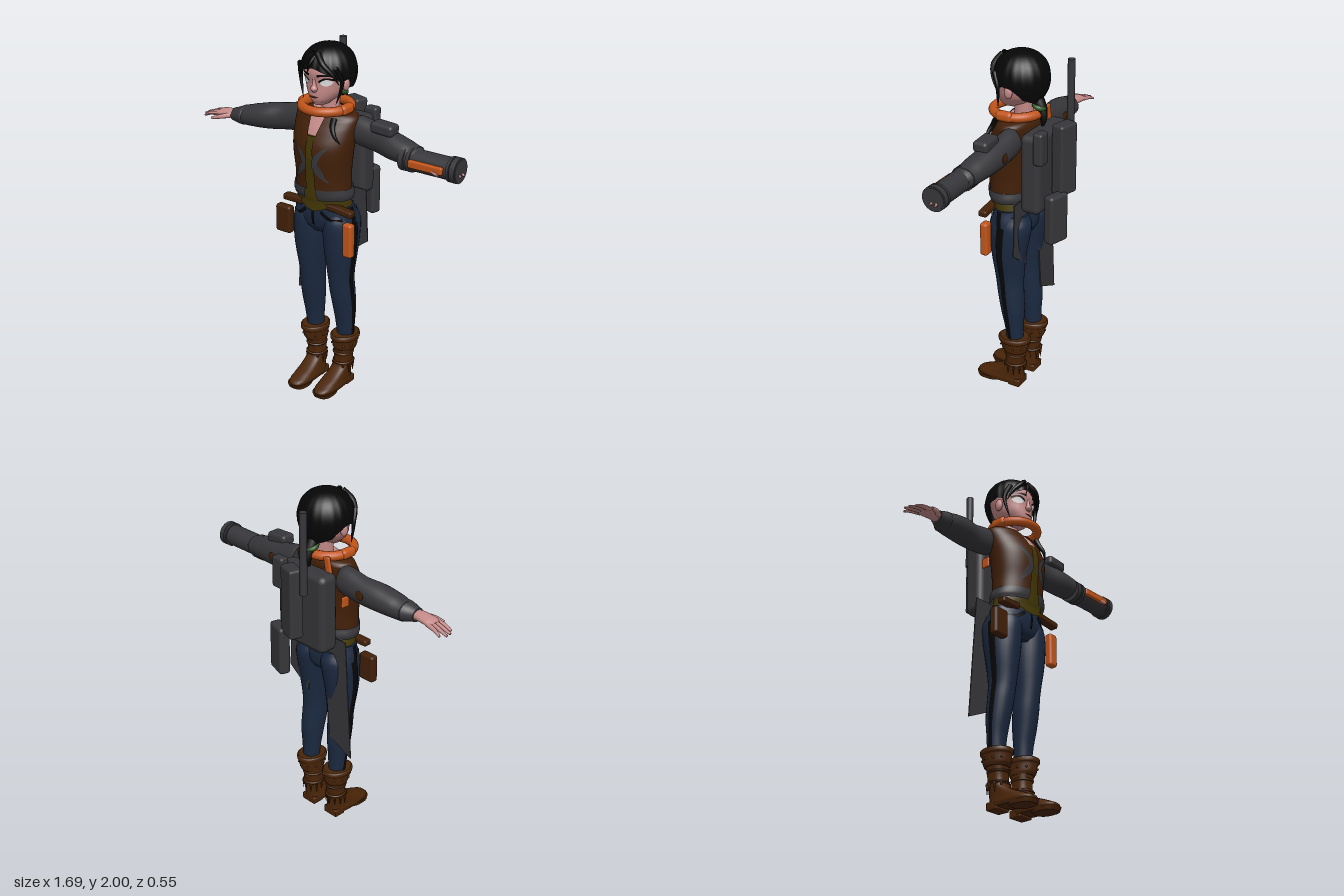
import * as THREE from 'three';
import { RoundedBoxGeometry } from 'three/addons/geometries/RoundedBoxGeometry.js';

const V = (x, y, z) => new THREE.Vector3(x, y, z);
const mat = (name, color) => {
  const m = new THREE.MeshStandardMaterial({ color, side: THREE.DoubleSide });
  m.name = name;
  return m;
};

// Cross-sections are [height, centreX, halfWidth, frontZ, backZ]; smooth in between.
function at(secs, y) {
  let i = 0;
  while (i < secs.length - 2 && y > secs[i + 1][0]) i++;
  const p1 = secs[i], p2 = secs[i + 1], p0 = secs[i - 1] || p1, p3 = secs[i + 2] || p2;
  const t = THREE.MathUtils.clamp((y - p1[0]) / (p2[0] - p1[0]), 0, 1);
  return p1.map((b, k) => {
    const a = p0[k], c = p2[k], d = p3[k];
    return k === 0 ? y : b + 0.5 * t * (c - a + t * (2 * a - 5 * b + 4 * c - d + t * (3 * (b - c) + d - a)));
  });
}

function build(pos, idx) {
  const g = new THREE.BufferGeometry();
  g.setAttribute('position', new THREE.Float32BufferAttribute(pos, 3));
  g.setIndex(idx);
  g.computeVertexNormals();
  return g;
}

// Skin over the cross-sections; gap(y) leaves a front opening of that half width,
// arc limits the angle and a power below 1 makes the outline squarer.
function loft(secs, { gap, arc, grow = 0, steps = 4, n = 28, power = 1 } = {}) {
  const pos = [], idx = [], ys = [];
  const closed = !gap && !arc, cols = closed ? n : n + 1;
  const sq = v => Math.sign(v) * Math.abs(v) ** power;
  secs.forEach((s, i) => {
    if (i) for (let k = 1; k <= steps; k++) ys.push(THREE.MathUtils.lerp(secs[i - 1][0], s[0], k / steps));
    else ys.push(s[0]);
  });
  const ring = y => {
    const [, cx, rx, zf, zb] = at(secs, y);
    const g = gap ? Math.asin(Math.min(1, gap(y) / rx)) : 0;
    const [a0, a1] = arc || [g, 2 * Math.PI - g];
    for (let j = 0; j < cols; j++) {
      const a = a0 + (a1 - a0) * j / n;
      pos.push(cx + (rx + grow) * sq(Math.sin(a)), y, (zf + zb) / 2 + ((zf - zb) / 2 + grow) * sq(Math.cos(a)));
    }
  };
  ys.forEach(ring);
  for (let i = 0; i < ys.length - 1; i++) for (let j = 0; j < n; j++) {
    const a = i * cols + j, b = i * cols + (j + 1) % cols;
    idx.push(a, b, b + cols, a, b + cols, a + cols);
  }
  if (closed) [ys[0], ys[ys.length - 1]].forEach((y, top) => {
    const s = pos.length / 3, c = at(secs, y);
    ring(y);
    pos.push(c[1], y, (c[3] + c[4]) / 2);
    for (let j = 0; j < n; j++) {
      const k = s + (j + 1) % n;
      top ? idx.push(s + j, k, s + n) : idx.push(k, s + j, s + n);
    }
  });
  return build(pos, idx);
}

// Thin painted strip laid on the front of a lofted body.
function decal(secs, path, width, lift = 0.005, n = 12) {
  const pos = [], idx = [];
  for (let i = 0; i <= n; i++) {
    const t = i / n, [x, y] = path(t), [x0, y0] = path(t - 0.01), [x1, y1] = path(t + 0.01);
    const l = Math.hypot(x1 - x0, y1 - y0) || 1;
    for (let k = -1; k <= 1; k++) {
      const px = x - (y1 - y0) / l * width(t) * k, py = y + (x1 - x0) / l * width(t) * k;
      const [, cx, rx, zf, zb] = at(secs, py);
      const q = Math.sqrt(Math.max(0.02, 1 - ((px - cx) / rx) ** 2));
      pos.push(px, py, (zf + zb) / 2 + (zf - zb) / 2 * q + lift);
      if (i < n && k < 1) { const a = i * 3 + k + 1; idx.push(a, a + 3, a + 4, a, a + 4, a + 1); }
    }
  }
  return build(pos, idx);
}
const arch = t => Math.sin(Math.PI * THREE.MathUtils.clamp(t, 0, 1));

// Tapered lock of hair
function lock(points, r, tip = 0.1) {
  const curve = new THREE.CatmullRomCurve3(points.map(p => V(...p)));
  const g = new THREE.TubeGeometry(curve, 12, r, 8), p = g.attributes.position, v = V();
  for (let i = 0; i < p.count; i++) {
    const t = Math.floor(i / 9) / 12;
    v.fromBufferAttribute(p, i).lerp(curve.getPointAt(t), (1 - tip) * t * t);
    p.setXYZ(i, v.x, v.y, v.z);
  }
  return g;
}

function mirror(geo) {
  const g = geo.clone().scale(-1, 1, 1), ix = g.index;
  if (ix) for (let i = 0; i < ix.count; i += 3) { const a = ix.getX(i); ix.setX(i, ix.getX(i + 1)); ix.setX(i + 1, a); }
  g.computeVertexNormals();
  return g;
}
const box = (w, h, d, x, y, z, r = 0.012, ry = 0, rz = 0) =>
  new RoundedBoxGeometry(w, h, d, 2, r).rotateZ(rz).rotateY(ry).translate(x, y, z);
// Limb along +x from [distance, centreY, halfHeight, frontZ, backZ]
const limb = secs => loft(secs.map(([d, y, ...r]) => [d, -y, ...r])).rotateZ(-Math.PI / 2);

export function createModel() {
  const M = {
    grey: mat('grey cloth', 0x37373b), brown: mat('brown leather', 0x422008), boot: mat('boot leather', 0x4a2508),
    navy: mat('navy denim', 0x1b2940), orange: mat('orange', 0xc2551a), black: mat('black', 0x060606),
    skin: mat('skin', 0xc48a88), olive: mat('olive shirt', 0x443805), green: mat('green tie', 0x28581e), white: mat('eye white', 0xffffff),
  };
  const model = new THREE.Group();
  const add = (name, geo, m) => {
    const mesh = new THREE.Mesh(geo, M[m]);
    mesh.name = name;
    model.add(mesh);
  };
  const pair = (name, geo, m) => { add(name + 'Left', geo, m); add(name + 'Right', mirror(geo), m); };

  // Head and face
  const head = [[1.69, 0, 0.035, 0.145, 0.03], [1.72, 0, 0.07, 0.16, -0.02], [1.76, 0, 0.1, 0.162, -0.06], [1.81, 0, 0.116, 0.16, -0.08],
    [1.87, 0, 0.124, 0.168, -0.09], [1.93, 0, 0.1, 0.14, -0.07], [1.97, 0, 0.05, 0.08, -0.02]];
  add('head', loft(head), 'skin');
  add('neck', loft([[1.58, 0, 0.065, 0.08, -0.04], [1.64, 0, 0.05, 0.07, -0.035], [1.74, 0, 0.05, 0.07, -0.04]]), 'skin');
  add('nose', loft([[1.765, 0, 0.012, 0.172, 0.14], [1.782, 0, 0.02, 0.184, 0.14], [1.8, 0, 0.012, 0.176, 0.14], [1.84, 0, 0.008, 0.168, 0.14]]), 'skin');
  add('mouth', decal(head, t => [-0.028 + 0.056 * t, 1.738], t => 0.005 * arch(t) + 0.001), 'brown');
  pair('eye', decal(head, t => [0.034 + 0.06 * t, 1.816 + 0.006 * t], t => 0.018 * arch(t) ** 0.7, 0.004), 'white');
  pair('lash', decal(head, t => [0.03 + 0.07 * t, 1.821 + 0.012 * t + 0.015 * arch(t)], () => 0.005, 0.006), 'black');
  pair('brow', decal(head, t => [0.024 + 0.077 * t, 1.856 + 0.004 * arch(t)], t => 0.007 * (1 - 0.5 * t), 0.006), 'black');
  pair('ear', new THREE.SphereGeometry(1, 12, 8).scale(0.018, 0.036, 0.024).translate(0.12, 1.8, 0.045), 'skin');

  // Hair shell whose hem is high over the face and low at the nape
  const hem = [[0, 1.895], [0.4, 1.878], [0.8, 1.85], [1.1, 1.82], [1.35, 1.835], [1.7, 1.825], [2.1, 1.765], [3.15, 1.71]];
  const hemY = a => {
    const i = hem.findIndex((h, k) => k && a <= h[0]);
    return THREE.MathUtils.mapLinear(a, hem[i - 1][0], hem[i][0], hem[i - 1][1], hem[i][1]);
  };
  const hp = [], hi = [], N = 72, R = 14;
  for (let i = 0; i <= R; i++) for (let j = 0; j < N; j++) {
    const a = j / N * 2 * Math.PI, b = hemY(Math.min(a, 2 * Math.PI - a));
    const end = b > 1.86 ? Math.acos((b - 1.86) / 0.14) : Math.PI / 2 + Math.asin((1.86 - b) / 0.175);
    const th = end * i / R, c = Math.cos(th), r = Math.sin(th) ** (c > 0 ? 0.82 : 1) * (1 + 0.02 * Math.cos(18 * a) * i / R);
    hp.push(0.148 * r * Math.sin(a), 1.86 + c * (c > 0 ? 0.14 : 0.175), 0.03 + 0.152 * r * Math.cos(a));
    if (i < R) { const q = i * N + j, s = i * N + (j + 1) % N; hi.push(q, q + N, s + N, q, s + N, s); }
  }
  add('hair', build(hp, hi), 'black');
  pair('sideLock', lock([[0.115, 1.9, 0.13], [0.134, 1.83, 0.1], [0.122, 1.76, 0.105], [0.105, 1.705, 0.115]], 0.013), 'black');
  pair('fringe', lock([[0.01, 1.965, 0.14], [0.06, 1.92, 0.165], [0.105, 1.87, 0.145], [0.126, 1.81, 0.115]], 0.016), 'black');
  add('strayLock', lock([[0, 1.965, 0.13], [-0.015, 1.92, 0.175], [-0.035, 1.86, 0.178]], 0.01), 'black');
  add('hairTie', new THREE.TorusGeometry(0.028, 0.015, 8, 18).rotateX(1.2).translate(0, 1.71, -0.075), 'green');
  add('ponytail', lock([[0, 1.75, -0.06], [0, 1.7, -0.085], [0, 1.64, -0.1], [0, 1.59, -0.09]], 0.035), 'black');
  add('braid', lock([[0.105, 1.63, 0.13], [0.108, 1.59, 0.15], [0.13, 1.55, 0.165], [0.155, 1.505, 0.15]], 0.016), 'black');

  // Collar ring
  add('collar', new THREE.TorusGeometry(0.13, 0.026, 12, 40).rotateX(Math.PI / 2).translate(0, 1.668, 0.055), 'orange');
  pair('collarPad', box(0.05, 0.056, 0.1, 0.132, 1.67, 0.06, 0.022), 'orange');

  // Torso: chest, shirt, open vest and hem
  const torso = [[1.23, 0, 0.165, 0.2, -0.04], [1.31, 0, 0.163, 0.205, -0.045], [1.4, 0, 0.172, 0.214, -0.05], [1.48, 0, 0.18, 0.21, -0.06],
    [1.56, 0, 0.188, 0.175, -0.07], [1.615, 0, 0.19, 0.14, -0.068], [1.638, 0, 0.165, 0.12, -0.06], [1.655, 0, 0.09, 0.1, -0.045]];
  const inner = torso.map(([y, c, r, f, b]) => [y, c, r - 0.014, f - 0.012, b + 0.012]);
  add('chest', loft(inner.slice(3)), 'skin');
  add('shirt', loft([[1.1, 0, 0.165, 0.17, -0.05], [1.17, 0, 0.16, 0.185, -0.035], ...inner.slice(0, 4), [1.53, 0, 0.168, 0.19, -0.05]]), 'olive');
  const open = y => y > 1.5 ? 0.018 + (y - 1.5) * 0.2 : 0.018 + (1.5 - y) * 0.04;
  add('vest', loft(torso, { gap: open, n: 48 }), 'brown');
  add('vestHem', loft([[1.175, 0, 0.174, 0.196, -0.05], [1.2, 0, 0.18, 0.203, -0.055], [1.238, 0, 0.172, 0.206, -0.05]], { gap: y => 0.03 + (1.238 - y) * 0.2, n: 48 }), 'grey');
  pair('vestCurve', decal(torso, t => [0.105 - 0.07 * Math.sin(Math.PI * t), 1.285 + 0.2 * t], t => 0.004 + 0.014 * arch(t)), 'grey');
  pair('vestBranch', decal(torso, t => [0.05 + 0.035 * t, 1.37 - 0.05 * t], t => 0.014 * (1 - t) + 0.002), 'grey');
  add('sideStrap', box(0.015, 0.06, 0.05, -0.176, 1.42, 0.0, 0.006), 'orange');
  add('backStrap', box(0.04, 0.16, 0.02, -0.12, 1.6, -0.066, 0.008, 0, -0.2), 'orange');

  // Sleeves, cuffs and hands
  pair('sleeve', limb([[0.165, 1.55, 0.076, 0.065, -0.058], [0.2, 1.547, 0.081, 0.065, -0.06], [0.3, 1.53, 0.076, 0.07, -0.058],
    [0.4, 1.518, 0.074, 0.1, -0.05], [0.5, 1.505, 0.064, 0.11, -0.035], [0.57, 1.495, 0.055, 0.105, -0.02]]), 'grey');
  pair('cuff', limb([[0.545, 1.497, 0.05, 0.1, -0.01], [0.56, 1.495, 0.056, 0.112, -0.02], [0.63, 1.49, 0.037, 0.1, 0.02]]), 'grey');
  pair('elbowPatch', new THREE.SphereGeometry(1, 14, 8).scale(0.028, 0.026, 0.005).translate(0.33, 1.53, -0.056), 'brown');
  pair('palm', limb([[0.6, 1.49, 0.028, 0.088, 0.028], [0.66, 1.492, 0.025, 0.1, 0.022], [0.72, 1.488, 0.02, 0.105, 0.015], [0.75, 1.483, 0.01, 0.1, 0.02]]), 'skin');
  [[0.82, 0.01], [0.843, 0.04], [0.84, 0.07], [0.82, 0.098]].forEach(([x, z], i) =>
    pair('finger' + i, lock([[0.72, 1.486, 0.026 + i * 0.023], [0.78, 1.475, (z + 0.026 + i * 0.023) / 2], [x, 1.458, z]], 0.0125, 0.5), 'skin'));
  pair('thumb', lock([[0.64, 1.487, 0.085], [0.69, 1.478, 0.118], [0.74, 1.465, 0.137]], 0.015, 0.5), 'skin');

  // Gauntlet and shoulder pad on the left arm
  const tube = (r, w, x) => new THREE.CylinderGeometry(r, r, w, 28).rotateZ(Math.PI / 2).translate(x, 1.484, 0.058);
  add('gauntlet', tube(0.059, 0.33, 0.665), 'grey');
  [[0.51, 0.03], [0.55, 0.02], [0.785, 0.015], [0.812, 0.03]].forEach(([x, w], i) => add('gauntletRing' + i, tube(0.067, w, x), 'grey'));
  add('gauntletPanel', box(0.2, 0.04, 0.03, 0.66, 1.484, 0.12, 0.008), 'orange');
  add('armPad', box(0.135, 0.06, 0.085, 0.36, 1.607, 0.04, 0.018, 0, -0.06), 'grey');

  // Trousers with side stripe, pockets and fly
  const leg = [[0.28, 0.105, 0.046, 0.065, -0.03], [0.4, 0.106, 0.056, 0.077, -0.03], [0.5, 0.106, 0.065, 0.1, -0.036], [0.6, 0.102, 0.07, 0.12, -0.03],
    [0.7, 0.098, 0.071, 0.136, -0.028], [0.85, 0.1, 0.09, 0.157, -0.042], [0.97, 0.098, 0.098, 0.168, -0.064], [1.04, 0.095, 0.095, 0.168, -0.072], [1.1, 0.09, 0.08, 0.15, -0.05]];
  const hips = [[0.965, 0, 0.14, 0.13, -0.03], [1.0, 0, 0.185, 0.16, -0.05], [1.06, 0, 0.19, 0.174, -0.055], [1.13, 0, 0.175, 0.172, -0.045]];
  pair('leg', loft(leg), 'navy');
  add('hips', loft(hips), 'navy');
  pair('sideStripe', loft(leg.slice(0, -1), { arc: [1.28, 1.66], grow: 0.004, n: 4 }), 'black');
  pair('hipStripe', loft(hips.slice(1), { arc: [1.36, 1.6], grow: 0.004, n: 4 }), 'black');
  pair('pocketTrim', decal(hips, t => [0.05 + 0.11 * t, 1.105 - 0.045 * Math.sin(Math.PI * t * 0.7)], () => 0.009, 0.008), 'black');
  add('fly', decal(hips, t => [0, 1.02 + 0.085 * t], () => 0.008, 0.007), 'black');
  add('shirtTail', decal(hips, t => [-0.1 + 0.2 * t, 1.14], t => 0.035 * arch(t), 0.01), 'olive');

  // Belt, pouch and holster
  add('beltRight', box(0.13, 0.036, 0.05, -0.148, 1.13, 0.145, 0.01), 'brown');
  add('beltLeft', box(0.17, 0.036, 0.05, 0.155, 1.132, 0.145, 0.01, 0, -0.1), 'brown');
  add('pouch', box(0.1, 0.16, 0.05, -0.222, 0.99, 0.14, 0.015), 'brown');
  add('holster', box(0.06, 0.195, 0.046, 0.208, 0.968, 0.142, 0.015), 'orange');

  // Flat coat tails hanging from the waist
  const tail = (name, inTop, outTop, outLow, inLow) => {
    const s = new THREE.Shape([inTop, outTop, outLow, inLow].map(p => new THREE.Vector2(...p)));
    add(name, new THREE.ExtrudeGeometry(s, { depth: 0.006, bevelEnabled: false }).translate(0, 0, -0.036), 'grey');
  };
  tail('coatTailRight', [-0.04, 1.2], [-0.215, 1.2], [-0.265, 0.485], [-0.1, 0.56]);
  tail('coatTailLeft', [0.04, 1.2], [0.2, 1.2], [0.215, 0.9], [0.07, 0.79]);

  // Boots: foot, sole, heel, cuff, straps and fringe
  pair('bootFoot', loft([[0.014, 0.088, 0.056, 0.262, -0.02], [0.035, 0.088, 0.06, 0.266, -0.025], [0.055, 0.088, 0.056, 0.228, -0.025], [0.09, 0.09, 0.051, 0.142, -0.025],
    [0.125, 0.092, 0.05, 0.084, -0.025], [0.18, 0.094, 0.05, 0.074, -0.03], [0.25, 0.098, 0.056, 0.08, -0.035]], { power: 0.75 }), 'boot');
  pair('bootSole', loft([[0, 0.088, 0.056, 0.262, 0.12], [0.022, 0.088, 0.06, 0.272, 0.1]], { power: 0.75 }), 'boot');
  pair('bootHeel', box(0.1, 0.045, 0.075, 0.09, 0.0225, 0.015, 0.008), 'boot');
  pair('bootCuff', loft([[0.232, 0.1, 0.062, 0.088, -0.05], [0.25, 0.102, 0.066, 0.1, -0.058], [0.295, 0.104, 0.07, 0.108, -0.064],
    [0.302, 0.105, 0.077, 0.118, -0.072], [0.322, 0.105, 0.077, 0.118, -0.072], [0.328, 0.105, 0.07, 0.11, -0.064]]), 'boot');
  const ringAt = (y, rx, rz) => new THREE.TorusGeometry(1, 0.12, 8, 28).rotateX(Math.PI / 2).scale(rx, 0.06, rz).translate(0.094, y, 0.024);
  [0.145, 0.205].forEach((y, i) => pair('bootStrap' + i, ringAt(y, 0.053, 0.058), 'boot'));
  for (let i = 0; i < 9; i++) {
    const a = 0.6 + i * 0.62;
    pair('bootFringe' + i, new THREE.ConeGeometry(0.009, 0.065, 6).rotateX(Math.PI).translate(0.094 + 0.056 * Math.sin(a), 0.112, 0.024 + 0.06 * Math.cos(a)), 'boot');
    pair('cuffStud' + i, new THREE.SphereGeometry(0.007, 8, 6).translate(0.103 + 0.068 * Math.sin(a), 0.27, 0.022 + 0.083 * Math.cos(a)), 'boot');
  }

  // Backpack cluster and antenna
  add('backpack', box(0.345, 0.45, 0.12, 0, 1.375, -0.105, 0.035), 'grey');
  add('packTallBox', box(0.12, 0.4, 0.08, -0.005, 1.44, -0.222, 0.015, -0.3), 'grey');
  add('packLowBox', box(0.13, 0.28, 0.065, 0.09, 1.13, -0.225, 0.018, -0.3), 'grey');
  add('packSideBox', box(0.08, 0.18, 0.055, 0.148, 1.54, -0.162, 0.014), 'grey');
  add('packLink', box(0.06, 0.06, 0.03, -0.015, 1.58, -0.172, 0.008), 'orange');
  add('antenna', new THREE.CylinderGeometry(0.02, 0.02, 0.46, 16).translate(-0.086, 1.735, -0.215), 'grey');
  return model;
}
